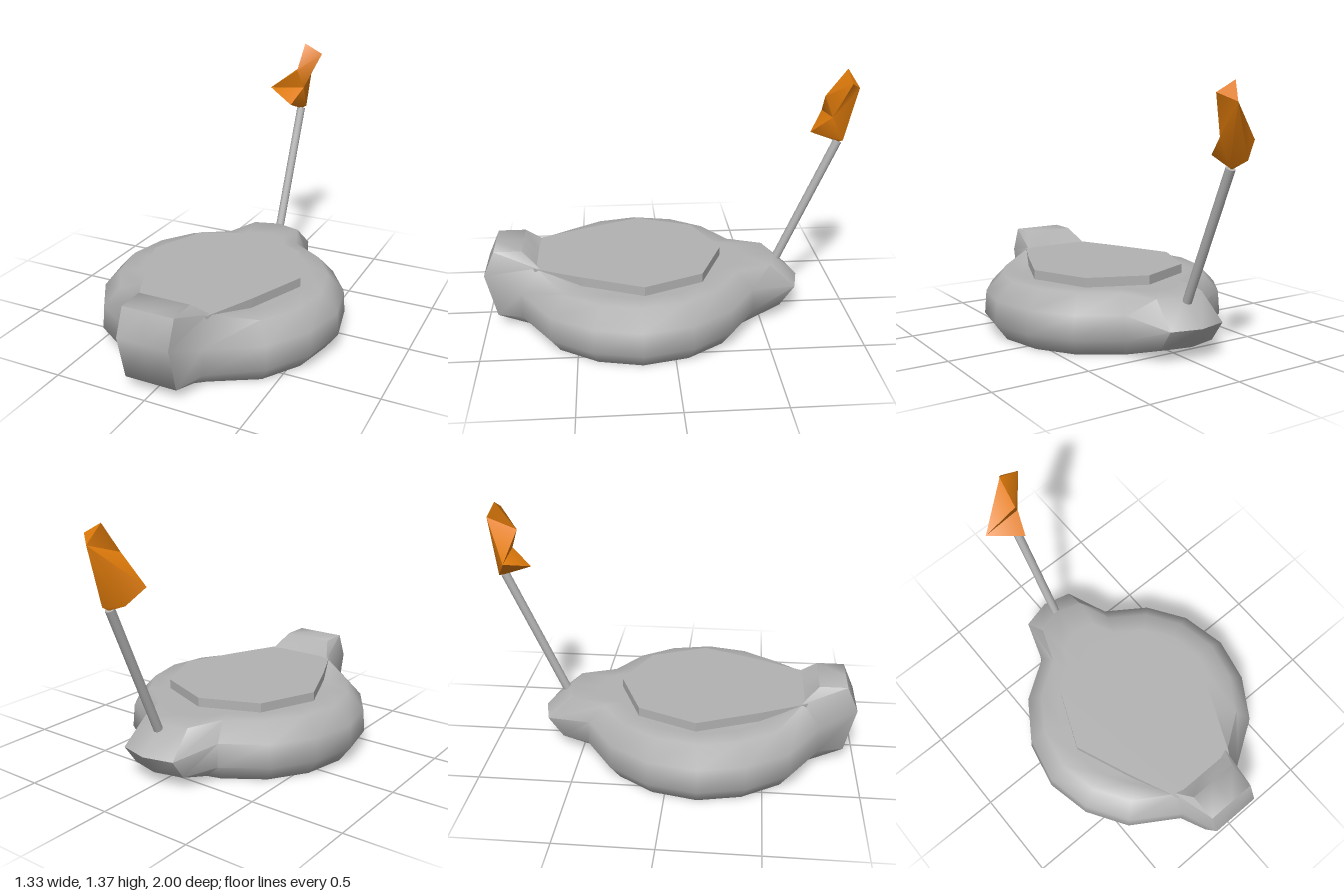
import * as THREE from 'three';
import { toCreasedNormals } from 'three/addons/utils/BufferGeometryUtils.js';

const grey = new THREE.MeshStandardMaterial({ color: 0xb2b2b2 });
grey.name = 'grey';
const orange = new THREE.MeshStandardMaterial({ color: 0xe07b0a, side: THREE.DoubleSide });
orange.name = 'orange';

function makeGeometry(points, faces, crease) {
  const g = new THREE.BufferGeometry();
  g.setAttribute('position', new THREE.Float32BufferAttribute(points.flat(), 3));
  g.setIndex(faces.flat());
  return toCreasedNormals(g, crease);
}

function addMesh(group, name, geometry, material) {
  const mesh = new THREE.Mesh(geometry, material);
  mesh.name = name;
  group.add(mesh);
  return mesh;
}

// Hull: the half outline from tail to nose, stacked in rings and mirrored
function hullGeometry() {
  const outline = [[0, -0.73], [0.16, -0.69], [0.25, -0.45], [0.47, -0.30], [0.61, -0.09],
    [0.665, 0.17], [0.61, 0.42], [0.47, 0.64], [0.21, 0.80], [0.14, 1], [0, 1]];
  const midZ = 0.16;
  // scale and height of the sides; z and height at the tail, shoulder and nose
  const rings = [
    { s: 0.90, y: 0, tail: [-0.45, 0], shoulder: [0.73, 0], nose: [0.77, 0] },
    { s: 1.00, y: 0.09, tail: [-0.65, 0.07], shoulder: [0.80, 0.08], nose: [0.94, 0.06] },
    { s: 0.985, y: 0.215, tail: [-0.73, 0.18], shoulder: [0.80, 0.22], nose: [1.00, 0.30] },
    { s: 0.85, y: 0.31, tail: [-0.59, 0.31], shoulder: [0.71, 0.36], nose: [0.94, 0.44] },
    { s: 0.70, y: 0.31, tail: [-0.42, 0.31], shoulder: [0.70, 0.36], nose: [0.79, 0.44] },
    { s: 0.60, y: 0.31, tail: [-0.30, 0.31], shoulder: [0.69, 0.355], nose: [0.71, 0.355] },
  ];
  const n = 20;
  const points = [];
  for (const r of rings) {
    for (let i = 0; i < n; i++) {
      const k = i <= 10 ? i : n - i;
      const side = i <= 10 ? 1 : -1;
      let [x, z] = outline[k];
      let y = r.y;
      if (k < 2) {
        z = r.tail[0] + (k ? 0.04 : 0);
        y = r.tail[1];
        x *= Math.min(1, r.s + 0.03);
      } else if (k > 8) {
        [z, y] = r.nose;
      } else if (k === 8) {
        [z, y] = r.shoulder;
        x *= Math.max(0.9, r.s);
      } else {
        x *= r.s;
        z = midZ + (z - midZ) * r.s;
      }
      points.push([x * side, y, z]);
    }
  }
  const faces = [];
  for (let r = 0; r < rings.length - 1; r++) {
    for (let i = 0; i < n; i++) {
      const a = r * n + i, b = r * n + (i + 1) % n;
      faces.push([a, a + n, b], [b, a + n, b + n]);
    }
  }
  // Flat bottom and deck
  const bottom = points.push([0, 0, midZ]) - 1;
  const deck = points.push([0, 0.31, midZ]) - 1;
  const last = (rings.length - 1) * n;
  for (let i = 0; i < n; i++) {
    const j = (i + 1) % n;
    faces.push([bottom, i, j], [deck, last + j, last + i]);
  }
  return makeGeometry(points, faces, 1.05);
}

// Raised deck plate, narrowing towards the nose
function plateGeometry() {
  const half = [[0, -0.29], [0.31, -0.16], [0.44, 0.15], [0.31, 0.47], [0.20, 0.71], [0.14, 0.80]];
  const mirrored = half.slice(1).reverse().map(([x, z]) => [-x, z]);
  const shape = new THREE.Shape([...half, ...mirrored].map(([x, z]) => new THREE.Vector2(x, -z)));
  const g = new THREE.ExtrudeGeometry(shape, { depth: 0.07, bevelEnabled: false });
  return g.rotateX(-Math.PI / 2).translate(0, 0.29, 0);
}

// Crumpled pennant: a folded shell around ten corners
function pennantGeometry() {
  const p = {
    A: [0.005, 1.365, -0.94], B: [0.115, 1.31, -0.94], C: [0.04, 1.27, -1],
    D: [0, 1.22, -0.83], E: [-0.185, 1.09, -0.865], F: [-0.01, 1.02, -0.765],
    G: [-0.10, 1.0, -0.915], H: [0, 0.965, -0.92], I: [0.025, 0.98, -0.935], J: [0.03, 1.11, -0.87],
  };
  const keys = Object.keys(p);
  const faces = ['DBA', 'DJB', 'EJD', 'EFJ', 'EGF', 'FIJ', 'GHF', 'HIF',
    'JCB', 'ICJ', 'CAB', 'CDA', 'CED', 'CGE', 'CIG', 'GIH'];
  return makeGeometry(Object.values(p), faces.map((f) => [...f].map((c) => keys.indexOf(c))), 0.9);
}

export function createModel() {
  const model = new THREE.Group();
  model.name = 'car';
  addMesh(model, 'hull', hullGeometry(), grey);
  addMesh(model, 'deckPlate', plateGeometry(), grey);

  // Leaning pole on the tail
  const foot = new THREE.Vector3(0, 0.29, -0.61);
  const tip = new THREE.Vector3(0, 0.97, -0.912);
  const dir = tip.clone().sub(foot);
  const pole = addMesh(model, 'pole', new THREE.CylinderGeometry(0.024, 0.024, dir.length(), 10), grey);
  pole.position.copy(foot).add(tip).multiplyScalar(0.5);
  pole.quaternion.setFromUnitVectors(new THREE.Vector3(0, 1, 0), dir.normalize());

  addMesh(model, 'pennant', pennantGeometry(), orange);
  return model;
}
